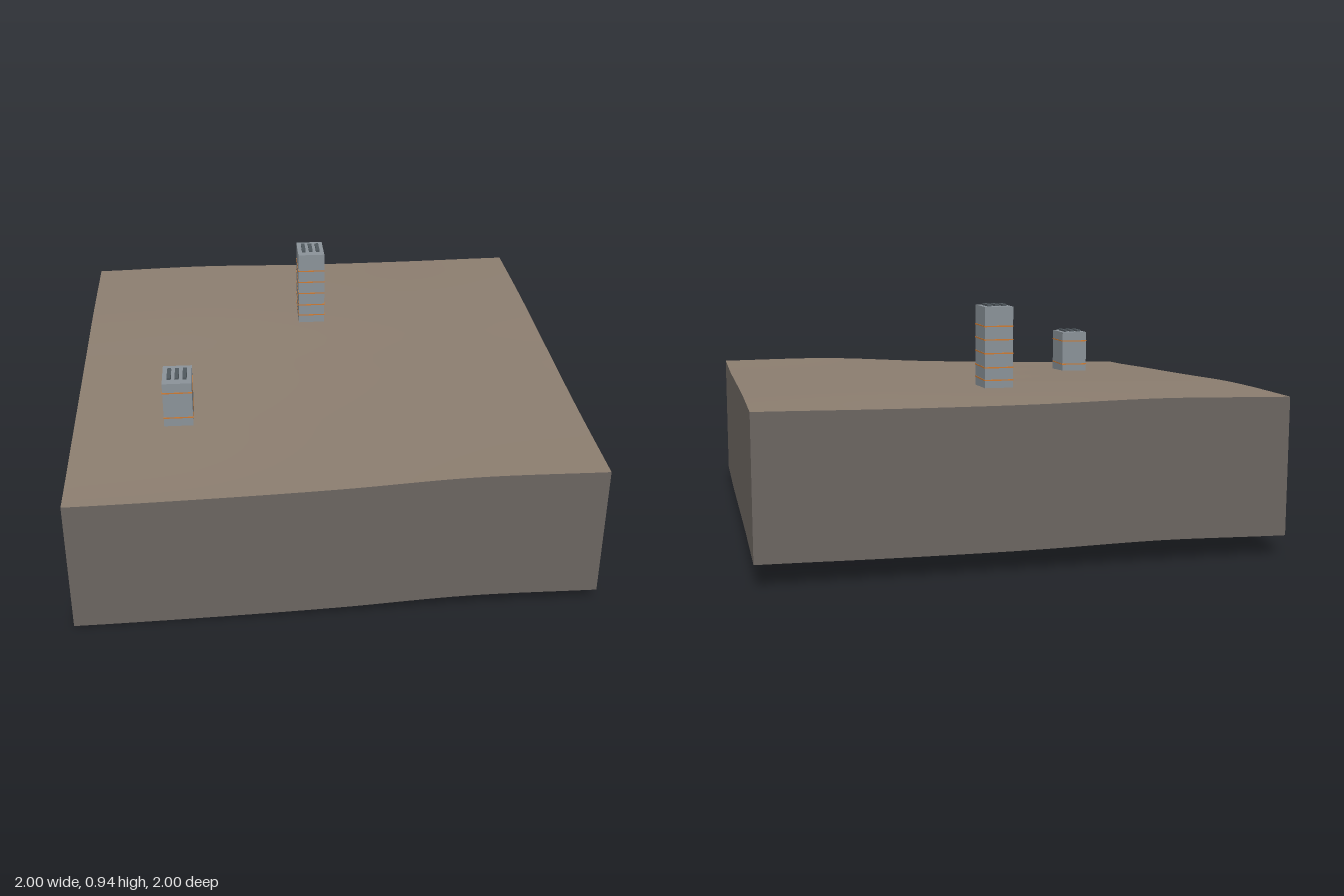
import * as THREE from 'three';

const mat = (name, color, side = THREE.FrontSide) => {
  const m = new THREE.MeshStandardMaterial({ color, side });
  m.name = name;
  return m;
};

// Smooth height profile through evenly spaced samples, t in 0..1
const profile = (heights) => {
  const curve = new THREE.SplineCurve(heights.map((h, i) => new THREE.Vector2(i, h)));
  return (t) => curve.getPoint(t).y;
};
const front = profile([0.533, 0.543, 0.56, 0.587, 0.586]);
const back = profile([0.61, 0.62, 0.613, 0.614, 0.62]);
const left = profile([0.61, 0.604, 0.58, 0.556, 0.533]); // edge at x = -1, back to front
const right = profile([0.62, 0.617, 0.602, 0.588, 0.586]); // edge at x = +1, back to front

// Ground height blended from the four edge profiles
function groundHeight(x, z) {
  const u = (x + 1) / 2, v = (z + 1) / 2, mix = THREE.MathUtils.lerp;
  const corners = mix(mix(back(0), back(1), u), mix(front(0), front(1), u), v);
  return mix(left(v), right(v), u) + mix(back(u), front(u), v) - corners;
}

const DROP = 0.533; // depth of the side walls

export function createModel() {
  const group = new THREE.Group();
  const earth = mat('earth', 0x8b7d6f, THREE.DoubleSide);
  const rock = mat('rock', 0x6b6560, THREE.DoubleSide);
  const concrete = mat('concrete', 0x8a9298);
  const orange = mat('orange', 0xcc7a33);
  const darkMetal = mat('dark metal', 0x50585e);

  const add = (parent, name, geometry, material, x = 0, y = 0, z = 0) => {
    const mesh = new THREE.Mesh(geometry, material);
    mesh.name = name;
    mesh.position.set(x, y, z);
    parent.add(mesh);
    return mesh;
  };

  // Rolling ground surface
  const ground = new THREE.PlaneGeometry(2, 2, 32, 32).rotateX(-Math.PI / 2);
  const p = ground.attributes.position;
  for (let i = 0; i < p.count; i++) p.setY(i, groundHeight(p.getX(i), p.getZ(i)));
  ground.computeVertexNormals();
  add(group, 'ground', ground, earth);

  // Four side walls following the ground edge, open underneath
  ['frontWall', 'leftWall', 'backWall', 'rightWall'].forEach((name, k) => {
    const wall = new THREE.PlaneGeometry(2, 1, 32, 1).translate(0, 0, 1).rotateY(k * Math.PI / 2);
    const w = wall.attributes.position;
    for (let i = 0; i < w.count; i++) {
      const y = groundHeight(w.getX(i), w.getZ(i));
      w.setY(i, w.getY(i) > 0 ? y : y - DROP);
    }
    add(group, name, wall, rock);
  });

  // Block tower with orange floor bands and three roof slats
  const W = 0.115, D = 0.155;
  function tower(name, x, z, base, top, bands) {
    const t = new THREE.Group();
    t.name = name;
    t.position.set(x, 0, z);
    add(t, 'towerBody', new THREE.BoxGeometry(W, top - base, D), concrete, 0, (top + base) / 2);
    for (const y of bands) {
      add(t, 'floorBand', new THREE.BoxGeometry(W + 0.003, 0.005, D + 0.003), orange, 0, y);
    }
    for (const i of [-1, 0, 1]) {
      add(t, 'roofSlat', new THREE.BoxGeometry(0.016, 0.008, 0.085), darkMetal, i * 0.031, top + 0.004);
    }
    group.add(t);
  }
  tower('shortTower', -0.588, 0.418, 0.563, 0.75, [0.6, 0.709]);
  tower('tallTower', -0.003, -0.418, 0.604, 0.93, [0.64, 0.69, 0.746, 0.8, 0.853]);

  return group;
}
